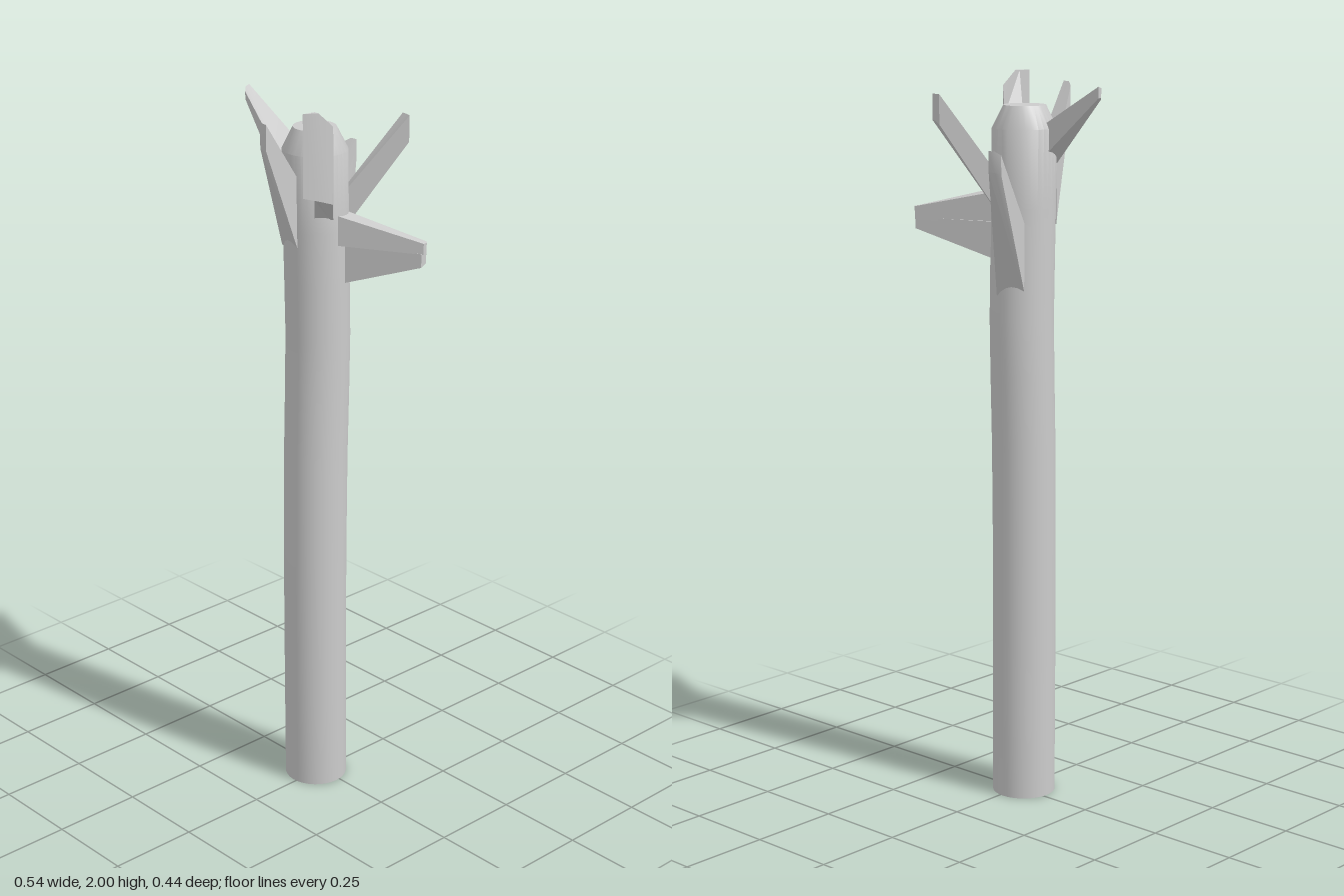
import * as THREE from 'three';
import { toCreasedNormals } from 'three/addons/utils/BufferGeometryUtils.js';

const grey = () => new THREE.MeshStandardMaterial({ color: 0xcccccc });

// Solid over a plan outline; each corner is [x, z, bottomY, topY]
function branchGeometry(corners) {
  const plan = corners.map(([x, z]) => new THREE.Vector2(x, z));
  if (THREE.ShapeUtils.isClockWise(plan)) { plan.reverse(); corners = [...corners].reverse(); }
  const n = corners.length, pos = [], index = [];
  for (const [x, z, y0, y1] of corners) pos.push(x, y0, z, x, y1, z);
  for (const [a, b, c] of THREE.ShapeUtils.triangulateShape(plan, [])) {
    index.push(2 * a, 2 * b, 2 * c, 2 * a + 1, 2 * c + 1, 2 * b + 1);
  }
  for (let i = 0; i < n; i++) {
    const j = (i + 1) % n;
    index.push(2 * i, 2 * j + 1, 2 * j, 2 * i, 2 * i + 1, 2 * j + 1);
  }
  const g = new THREE.BufferGeometry();
  g.setAttribute('position', new THREE.Float32BufferAttribute(pos, 3));
  g.setIndex(index);
  return toCreasedNormals(g, 0.5);
}

// Trunk: upright column with a gentle bend in z and a bevelled top
function trunkGeometry() {
  const r = 0.087;
  const ys = [0, 0.25, 0.5, 0.75, 1, 1.2, 1.35, 1.5, 1.65, 1.86];
  const profile = [[0, 0], ...ys.map(y => [r, y]), [0.057, 1.92], [0, 1.92]];
  const g = new THREE.LatheGeometry(profile.map(p => new THREE.Vector2(...p)), 32);
  const bend = new THREE.CatmullRomCurve3(
    [[0, 0.012], [0.6, 0.014], [1, 0.011], [1.35, 0.003], [1.6, 0.009], [1.92, 0.014]]
      .map(([y, z]) => new THREE.Vector3(0, y, z)));
  const samples = bend.getPoints(100);
  const p = g.attributes.position;
  for (let i = 0; i < p.count; i++) {
    const y = p.getY(i);
    const s = samples.reduce((a, b) => Math.abs(b.y - y) < Math.abs(a.y - y) ? b : a);
    p.setXYZ(i, p.getX(i) - 0.01, y, p.getZ(i) + s.z);
  }
  return toCreasedNormals(g, 0.5);
}

export function createModel() {
  const group = new THREE.Group();
  const add = (name, geometry) => {
    const mesh = new THREE.Mesh(geometry, grey());
    mesh.name = name;
    group.add(mesh);
  };
  add('trunk', trunkGeometry());

  // Branch stubs: root corners, then the rounded tip
  const branches = {
    rightBranch: [
      [-0.06, 0.014, 1.77, 1.86], [-0.272, 0.009, 1.95, 1.98], [-0.27, 0.022, 1.95, 1.975],
      [-0.261, 0.032, 1.945, 1.965], [-0.06, 0.085, 1.76, 1.83]],
    frontBranch: [
      [-0.065, 0.08, 1.6, 1.79], [0, 0.21, 1.9, 1.96], [0.015, 0.219, 1.9, 1.97],
      [0.035, 0.221, 1.9, 1.97], [0.008, 0.085, 1.59, 1.79]],
    backBranch: [
      [-0.07, -0.05, 1.42, 1.61], [-0.135, -0.212, 1.76, 1.81], [-0.12, -0.221, 1.765, 1.82],
      [-0.1, -0.222, 1.765, 1.82], [0.008, -0.075, 1.4, 1.62]],
    backLeftBranch: [
      [0.02, -0.07, 1.65, 1.75], [0.132, -0.165, 1.87, 1.95], [0.148, -0.164, 1.88, 1.95],
      [0.164, -0.158, 1.88, 1.95], [0.045, -0.05, 1.65, 1.75]],
    frontLeftBranch: [
      [0.03, 0.052, 1.67, 1.89], [0.11, 0.125, 1.77, 2], [0.105, 0.16, 1.78, 2],
      [0.125, 0.125, 1.77, 2], [0.133, 0.083, 1.755, 1.96], [0.06, 0.012, 1.67, 1.89]],
    leftBranchUpper: [
      [0.04, -0.05, 1.6, 1.69], [0.262, -0.13, 1.605, 1.64], [0.27, -0.122, 1.61, 1.64],
      [0.271, -0.11, 1.61, 1.64], [0.06, 0.022, 1.615, 1.7]],
    leftBranchLower: [
      [0.04, -0.055, 1.51, 1.61], [0.262, -0.128, 1.58, 1.61], [0.268, -0.105, 1.575, 1.612],
      [0.06, -0.012, 1.5, 1.615]],
  };
  for (const [name, corners] of Object.entries(branches)) add(name, branchGeometry(corners));
  return group;
}
